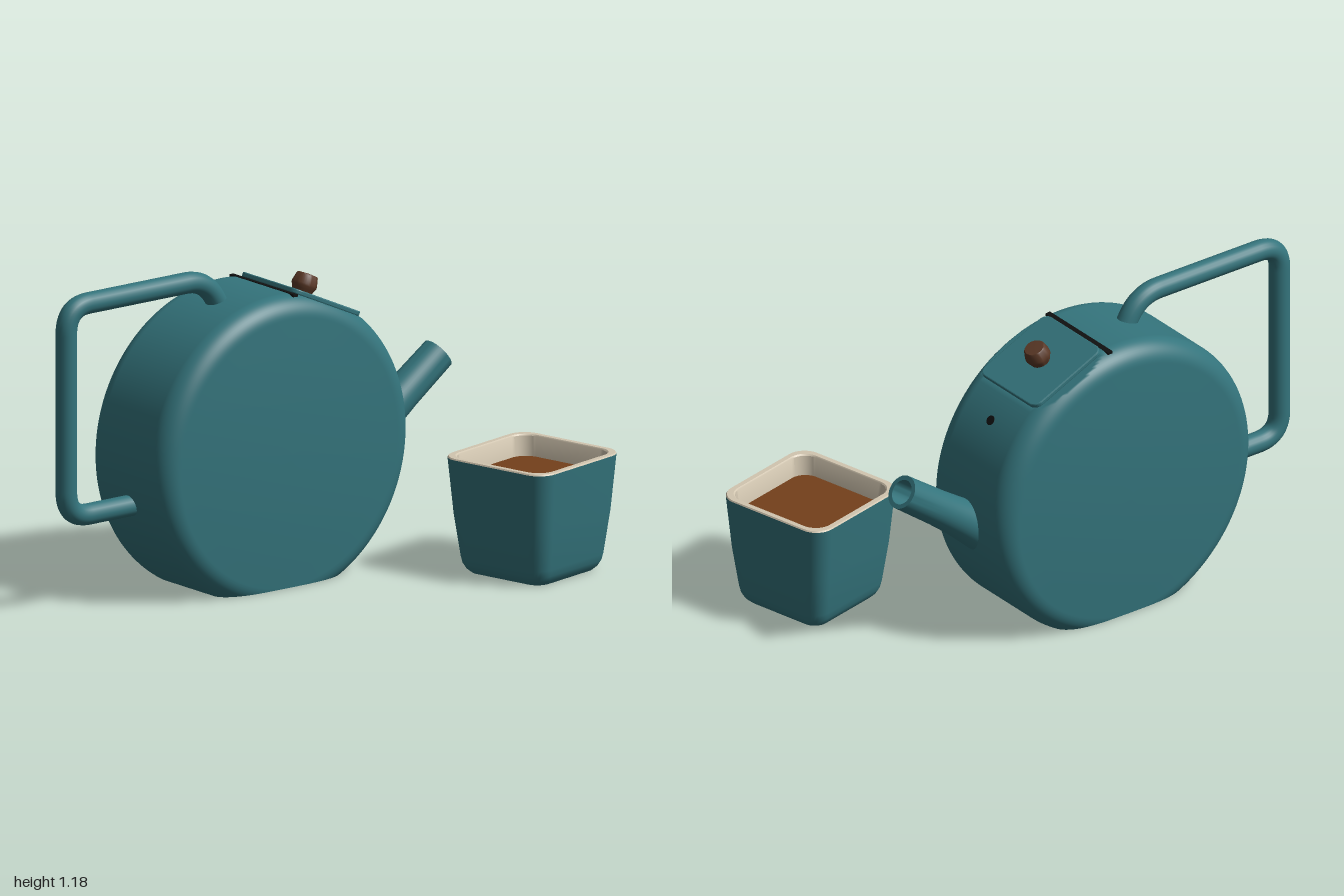
import * as THREE from 'three';
import { toCreasedNormals } from 'three/addons/utils/BufferGeometryUtils.js';

const V2 = (x, y) => new THREE.Vector2(x, y);
const V3 = (x, y, z = 0) => new THREE.Vector3(x, y, z);
const mat = (color) => new THREE.MeshStandardMaterial({ color });
const glaze = mat(0x34747c), clay = mat(0xd2c6b0), wood = mat(0x5a3826), tea = mat(0x74401b), dark = mat(0x111111);

function add(parent, name, geometry, material) {
  const mesh = new THREE.Mesh(geometry, material);
  mesh.name = name;
  parent.add(mesh);
  return mesh;
}

// Pot dimensions, measured from the centre of the drum
const R = 0.575, FLOOR = 0.5, CORNER = 0.08, HALF = 0.145;
const LID_ANGLE = 0.427, LID_SEAT = 0.55;

// Half of the drum profile: domed face, then rounded shoulder (radius, depth)
function drumProfile() {
  const half = [];
  for (let i = 0; i <= 8; i++) {
    const r = 0.495 * i / 8;
    half.push(V2(r, HALF + CORNER + 0.018 * (1 - (i / 8) ** 2)));
  }
  const a0 = Math.asin((FLOOR - 0.495) / CORNER);
  for (let i = 0; i <= 14; i++) {
    const a = a0 + (Math.PI / 2 - a0) * i / 14;
    half.push(V2(0.495 + CORNER * Math.sin(a), HALF + CORNER * Math.cos(a)));
  }
  return [...half.map((p) => V2(p.x, -p.y)), ...half.reverse()];
}

// Half width of the flat foot where a ring of radius r meets the floor
const footWidth = (r) => Math.sqrt(Math.max(0, r * r - FLOOR * FLOOR));

// Drum: a lathe whose rings stop at the floor and are flattened under the lid
function drumGeometry(profile) {
  const geo = new THREE.LatheGeometry(profile, 160).rotateX(Math.PI / 2);
  const pos = geo.attributes.position, nor = geo.attributes.normal, uv = geo.attributes.uv;
  const axis = V3(0, 0, 1), seat = V3(Math.sin(LID_ANGLE), Math.cos(LID_ANGLE));
  const p = V3(0, 0), n = V3(0, 0);
  for (let i = 0; i < pos.count; i++) {
    p.fromBufferAttribute(pos, i);
    n.fromBufferAttribute(nor, i);
    const r = Math.hypot(p.x, p.y);
    if (r > FLOOR + 1e-5) {
      const angle = (uv.getX(i) * 2 - 1) * Math.PI;
      const turn = angle * (Math.acos(-FLOOR / r) / Math.PI - 1);
      p.applyAxisAngle(axis, turn);
      n.applyAxisAngle(axis, turn);
    }
    const over = p.dot(seat) - LID_SEAT;
    if (over > 0) {
      p.addScaledVector(seat, -over);
      n.copy(seat);
    }
    pos.setXYZ(i, p.x, p.y, p.z);
    nor.setXYZ(i, n.x, n.y, n.z);
  }
  return geo;
}

// Flat unglazed foot closing the drum
function footGeometry(profile) {
  const side = profile.filter((p) => p.x > FLOOR - 1e-5);
  const outline = [
    ...side.map((p) => V2(footWidth(p.x), p.y)),
    ...side.slice(1, -1).reverse().map((p) => V2(-footWidth(p.x), p.y)),
  ];
  return new THREE.ShapeGeometry(new THREE.Shape(outline)).rotateX(Math.PI / 2).translate(0, -FLOOR, 0);
}

// Tube along a polyline with rounded corners
function bentTube(points, bend, radius) {
  const path = new THREE.CurvePath();
  let from = points[0];
  for (let i = 1; i < points.length; i++) {
    const c = points[i], next = points[i + 1];
    if (!next) {
      path.add(new THREE.LineCurve3(from, c));
      break;
    }
    const towards = (q) => c.clone().add(q.clone().sub(c).setLength(bend[i - 1]));
    const start = towards(points[i - 1]), end = towards(next);
    path.add(new THREE.LineCurve3(from, start));
    path.add(new THREE.QuadraticBezierCurve3(start, c, end));
    from = end;
  }
  return new THREE.TubeGeometry(path, 200, radius, 20, false);
}

// Loft through rounded squares given as [half side, height]
function squareLoft(rings) {
  const steps = 8, count = 4 * (steps + 1), pos = [], index = [];
  for (const [h, y] of rings) {
    const r = h * 0.3;
    for (let k = 0; k < 4; k++) {
      const mid = (k + 0.5) * Math.PI / 2;
      for (let j = 0; j <= steps; j++) {
        const a = (k + j / steps) * Math.PI / 2;
        pos.push(Math.sign(Math.cos(mid)) * (h - r) + r * Math.cos(a), y,
          -Math.sign(Math.sin(mid)) * (h - r) - r * Math.sin(a));
      }
    }
  }
  for (let i = 0; i < rings.length - 1; i++) {
    for (let j = 0; j < count; j++) {
      const a = i * count + j, b = i * count + (j + 1) % count;
      index.push(a, b, b + count, a, b + count, a + count);
    }
  }
  const geo = new THREE.BufferGeometry();
  geo.setAttribute('position', new THREE.Float32BufferAttribute(pos, 3));
  geo.setIndex(index);
  return toCreasedNormals(geo, 0.6);
}

function lidGeometry(size, thickness) {
  const bevel = 0.004, h = size / 2 - bevel, r = 0.03, s = new THREE.Shape();
  s.absarc(h - r, h - r, r, 0, Math.PI / 2);
  s.absarc(r - h, h - r, r, Math.PI / 2, Math.PI);
  s.absarc(r - h, r - h, r, Math.PI, Math.PI * 1.5);
  s.absarc(h - r, r - h, r, Math.PI * 1.5, Math.PI * 2);
  return new THREE.ExtrudeGeometry(s, {
    depth: thickness - 2 * bevel, bevelThickness: bevel, bevelSize: bevel, bevelSegments: 2, curveSegments: 8,
  }).rotateX(-Math.PI / 2).translate(0, bevel, 0);
}

function createPot() {
  const pot = new THREE.Group();
  pot.name = 'teapot';
  pot.position.set(-0.115, FLOOR, -0.3);

  const profile = drumProfile();
  add(pot, 'potBody', drumGeometry(profile), glaze);
  add(pot, 'potFoot', footGeometry(profile), clay);

  // Places an object on the rim, turned to point outwards
  const onRim = (object, angle, radius) => {
    object.position.set(Math.sin(angle) * radius, Math.cos(angle) * radius, 0);
    object.rotation.z = -angle;
  };

  // Lid plate with its knob
  const lid = new THREE.Group();
  lid.name = 'lid';
  pot.add(lid);
  onRim(lid, LID_ANGLE, LID_SEAT);
  add(lid, 'lidPlate', lidGeometry(0.335, 0.018), glaze);
  const knob = [[0.036, 0.015], [0.041, 0.03], [0.047, 0.042], [0.047, 0.05], [0.04, 0.08], [0.036, 0.085], [0, 0.087]];
  add(lid, 'knob', toCreasedNormals(new THREE.LatheGeometry(knob.map(([x, y]) => V2(x, y)), 32), 0.7), wood);

  // Slot beside the lid and steam hole above the spout
  onRim(add(pot, 'slot', new THREE.BoxGeometry(0.02, 0.01, 0.37), dark), 0.105, 0.572);
  onRim(add(pot, 'steamHole', new THREE.CylinderGeometry(0.018, 0.018, 0.01, 24), dark), 0.927, 0.572);

  // Flared, hollow spout
  const spoutProfile = [[0.094, 0], [0.082, 0.1], [0.071, 0.2], [0.066, 0.3], [0.063, 0.5],
    [0.046, 0.5], [0.046, 0.2], [0, 0.2]];
  const spout = add(pot, 'spout',
    toCreasedNormals(new THREE.LatheGeometry(spoutProfile.map(([x, y]) => V2(x, y)), 40), 0.7), glaze);
  spout.position.set(0.862 - 0.5 * 0.807, 0.185 - 0.5 * 0.592, 0);
  spout.rotation.z = -0.938;

  // Angular loop handle
  const loop = [V3(-0.13, 0.5), V3(-0.21, 0.637), V3(-0.847, 0.637), V3(-0.847, -0.148), V3(-0.5, -0.148)];
  add(pot, 'handle', bentTube(loop, [0.09, 0.1, 0.1], 0.039), glaze);
  return pot;
}

function createCup() {
  const cup = new THREE.Group();
  cup.name = 'cup';
  cup.position.set(0.725, 0, 0.27);
  cup.rotation.y = 0.225;
  add(cup, 'cupWall', squareLoft([[0.17, 0], [0.185, 0.015], [0.195, 0.035], [0.2, 0.06], [0.22, 0.22], [0.237, 0.428]]), glaze);
  add(cup, 'cupFoot', squareLoft([[0.001, 0], [0.17, 0]]), clay);
  add(cup, 'cupLining', squareLoft([[0.237, 0.428], [0.234, 0.433], [0.215, 0.433], [0.211, 0.428], [0.2, 0.33]]), clay);
  add(cup, 'tea', squareLoft([[0.203, 0.355], [0.001, 0.355]]), tea);
  return cup;
}

export function createModel() {
  const model = new THREE.Group();
  model.name = 'teaSet';
  model.add(createPot(), createCup());
  return model;
}
